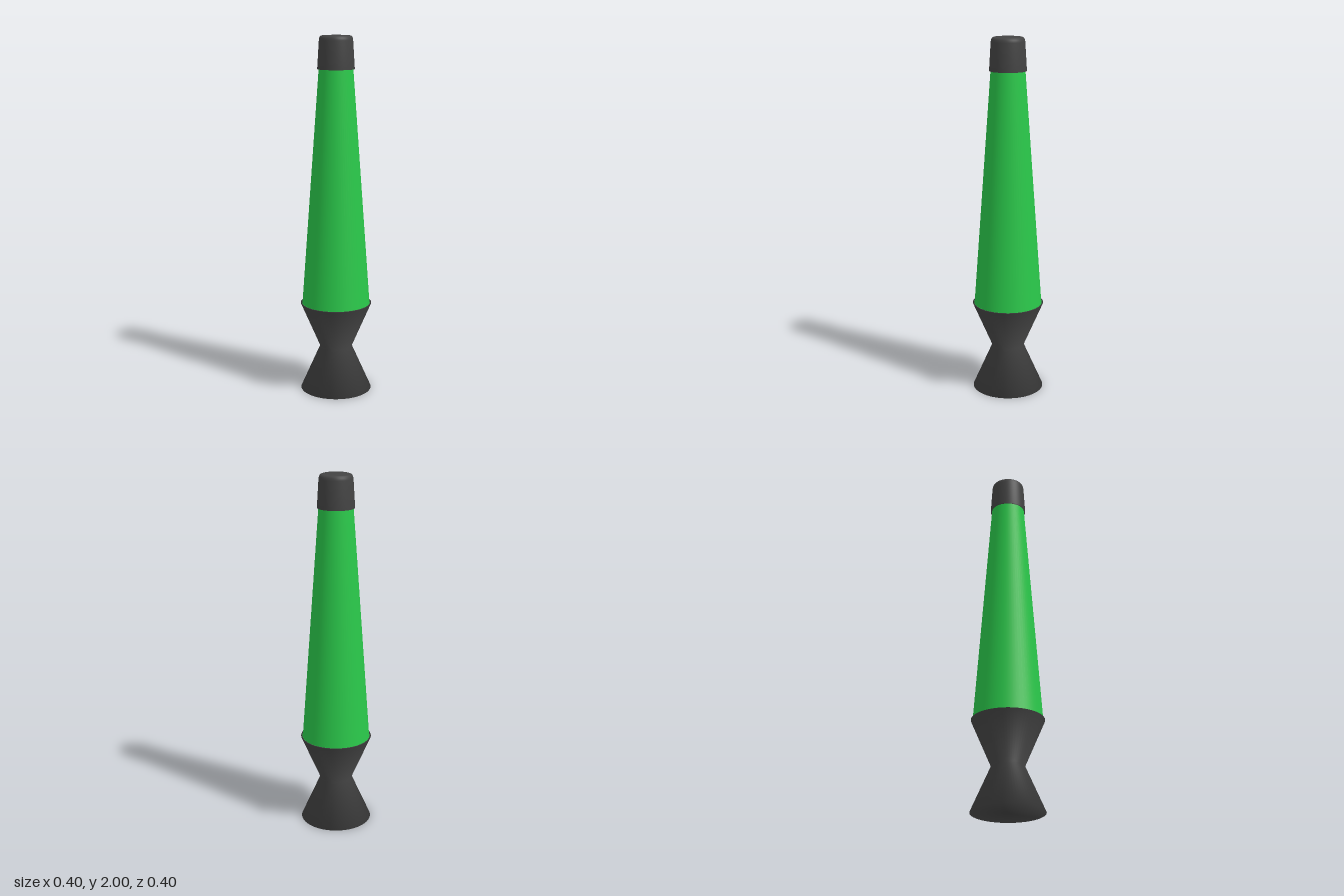
import * as THREE from 'three';

const darkMetal = new THREE.MeshStandardMaterial({ color: 0x444444 });
const greenGlass = new THREE.MeshStandardMaterial({ color: 0x2ac84a });

// Turn a [radius, height] profile, listed from bottom to top, around the y axis
function turned(name, profile, material) {
  const points = profile.map(([r, y]) => new THREE.Vector2(r, y));
  const mesh = new THREE.Mesh(new THREE.LatheGeometry(points, 64), material);
  mesh.name = name;
  return mesh;
}

export function createModel() {
  const lamp = new THREE.Group();
  lamp.name = 'lavaLamp';

  // Hourglass base with a narrow ledge around the glass
  lamp.add(turned('base', [
    [0, 0], [0.2, 0], [0.09, 0.25], [0.2, 0.507], [0.188, 0.507], [0, 0.507],
  ], darkMetal));

  // Tapered bottle; tiny lips at both ends soften its shading into the ledges
  lamp.add(turned('glassBottle', [
    [0.192, 0.508], [0.19, 0.508], [0.094, 1.822], [0.096, 1.822],
  ], greenGlass));

  // Cap with a rounded top edge
  lamp.add(turned('cap', [
    [0, 1.82], [0.09, 1.82], [0.102, 1.82], [0.0925, 1.975], [0.09, 1.988],
    [0.085, 1.996], [0.076, 2], [0, 2],
  ], darkMetal));

  return lamp;
}
